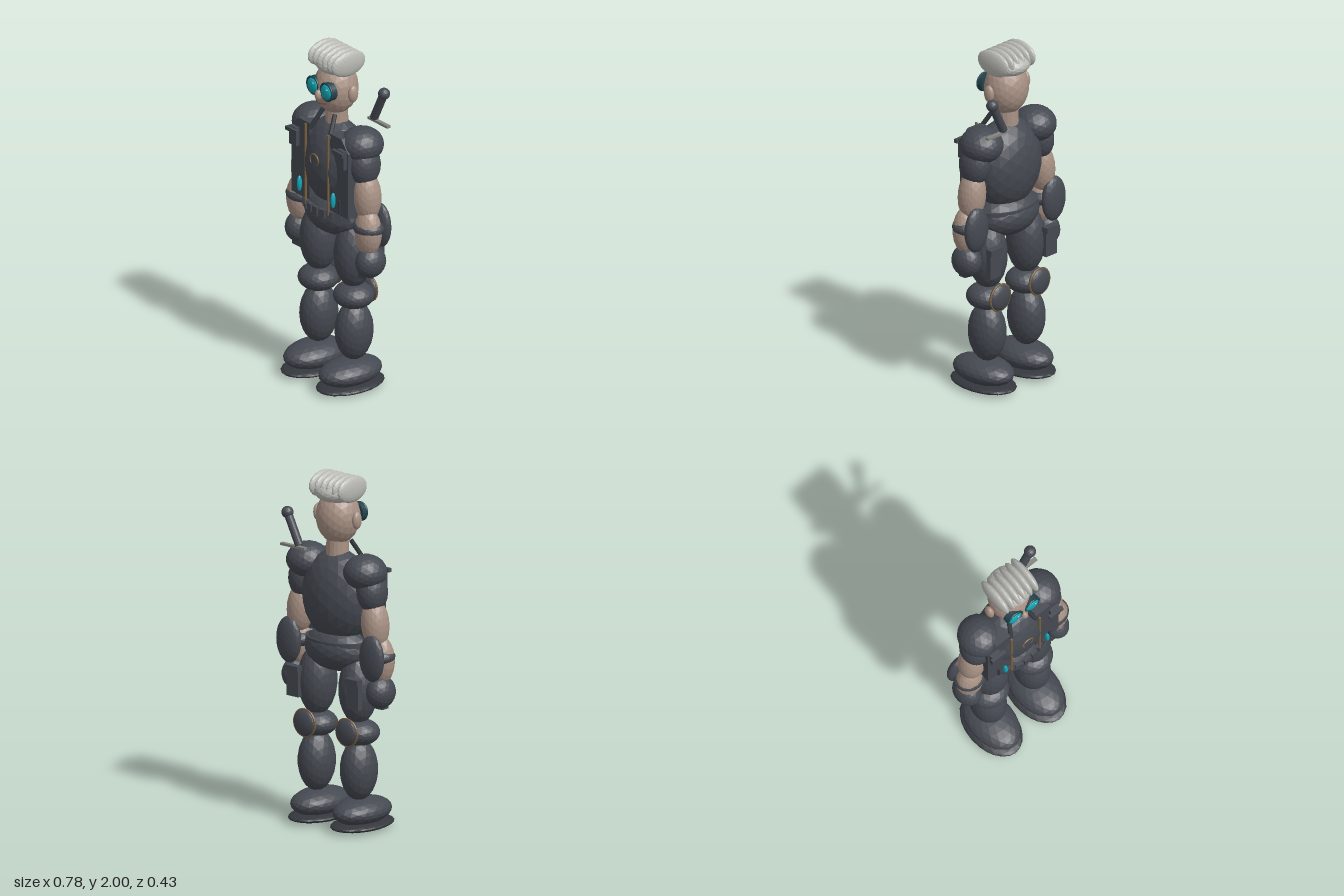
import * as THREE from 'three';

const mat = (name, color) => {
  const m = new THREE.MeshStandardMaterial({ color, flatShading: true });
  m.name = name;
  return m;
};

export function createModel() {
  const root = new THREE.Group();
  root.name = 'soldierFigure';
  const suit = mat('darkSuit', 0x454951);
  const rubber = mat('blackRubber', 0x34373d);
  const skin = mat('skin', 0xa89184);
  const hair = mat('paleHair', 0xb9b9b4);
  const teal = mat('tealGlow', 0x0fa5b4);
  const rim = mat('darkTealRim', 0x24434c);
  const brass = mat('brass', 0x7a6040);
  const steel = mat('steel', 0x85857f);
  const lip = mat('lip', 0x7a5348);
  const glint = mat('glint', 0xc8d4d4);

  const add = (name, geo, m, p = [0, 0, 0], r = [0, 0, 0], parent = root) => {
    const mesh = new THREE.Mesh(geo, m);
    mesh.name = name;
    mesh.position.set(...p);
    mesh.rotation.set(...r);
    parent.add(mesh);
    return mesh;
  };
  const ball = (name, m, p, s, r, parent, detail = 3) =>
    add(name, new THREE.IcosahedronGeometry(1, detail).scale(...s), m, p, r, parent);
  const box = (name, m, p, s, r, parent) => add(name, new THREE.BoxGeometry(...s), m, p, r, parent);
  // Cylinder running between two points
  const rod = (name, m, a, b, radius, parent, sides = 10) => {
    const A = new THREE.Vector3(...a), B = new THREE.Vector3(...b);
    const mesh = add(name, new THREE.CylinderGeometry(radius, radius, A.distanceTo(B), sides), m,
      A.clone().add(B).multiplyScalar(0.5).toArray(), [0, 0, 0], parent);
    mesh.quaternion.setFromUnitVectors(new THREE.Vector3(0, 1, 0), B.sub(A).normalize());
    return mesh;
  };

  // Trunk
  ball('torso', suit, [0, 1.305, -0.025], [0.225, 0.265, 0.16]);
  ball('pelvis', suit, [0, 1.01, -0.025], [0.21, 0.13, 0.15]);
  add('neck', new THREE.CylinderGeometry(0.06, 0.065, 0.14, 16), skin, [0, 1.59, -0.03]);

  // Belt and its row of pouches
  add('belt', new THREE.CylinderGeometry(1, 1, 0.045, 28).scale(0.205, 1, 0.14), suit, [0, 1.045, -0.025]);
  for (let i = -4; i <= 4; i++) {
    const a = i * 0.25;
    box('beltPouch', suit, [Math.sin(a) * 0.215, 1.045, -0.025 + Math.cos(a) * 0.138],
      [0.04, 0.05, 0.03], [0, a * 0.8, 0]);
  }

  // Chest ring
  add('chestRing', new THREE.TorusGeometry(0.035, 0.005, 6, 20), brass, [0, 1.35, 0.128]);

  // Mirrored limbs and gear
  const vest = new THREE.Shape([[0.09, 1.07], [0.25, 1.07], [0.25, 1.46], [0.19, 1.53], [0.09, 1.53]]
    .map(([x, y]) => new THREE.Vector2(x, y)));
  for (const s of [1, -1]) {
    const side = new THREE.Group();
    side.name = s > 0 ? 'leftSide' : 'rightSide';
    root.add(side);
    const b = (name, m, [x, y, z], size, r = [0, 0, 0], detail) =>
      ball(name, m, [s * x, y, z], size, [r[0], s * r[1], s * r[2]], side, detail);
    const bx = (name, m, [x, y, z], size, r = [0, 0, 0]) =>
      box(name, m, [s * x, y, z], size, [r[0], s * r[1], s * r[2]], side);
    const rd = (name, m, a, c, radius) =>
      rod(name, m, [s * a[0], a[1], a[2]], [s * c[0], c[1], c[2]], radius, side);

    // Leg
    b('sole', rubber, [0.155, 0.03, 0], [0.14, 0.03, 0.215]);
    b('boot', suit, [0.155, 0.105, 0], [0.13, 0.077, 0.2]);
    b('shin', suit, [0.155, 0.342, -0.027], [0.1, 0.175, 0.113]);
    b('knee', suit, [0.155, 0.555, -0.025], [0.117, 0.075, 0.115]);
    b('thigh', suit, [0.15, 0.8, -0.027], [0.108, 0.2, 0.113]);
    b('kneePad', suit, [0.155, 0.57, -0.125], [0.077, 0.077, 0.033]);
    add('kneePadRing', new THREE.TorusGeometry(0.077, 0.006, 6, 28), brass,
      [s * 0.155, 0.57, -0.128], [0, 0, 0], side);
    bx('thighHolster', suit, [0.22, 0.795, -0.14], [0.085, 0.16, 0.032]);
    bx('holsterFlap', suit, [0.22, 0.875, -0.148], [0.094, 0.032, 0.042]);

    // Arm
    b('shoulder', suit, [0.21, 1.475, -0.037], [0.12, 0.1, 0.125]);
    b('sleeve', suit, [0.25, 1.37, -0.025], [0.082, 0.12, 0.095], [0, 0, 0.1]);
    b('upperArm', skin, [0.273, 1.19, -0.025], [0.077, 0.15, 0.08], [0, 0, 0.1]);
    b('forearm', skin, [0.3, 0.985, -0.01], [0.083, 0.14, 0.072]);
    b('wristCuff', suit, [0.295, 1.01, -0.018], [0.094, 0.052, 0.085]);
    b('elbowPad', suit, [0.305, 1.01, -0.09], [0.085, 0.132, 0.042]);
    b('glove', suit, [0.31, 0.807, -0.02], [0.075, 0.092, 0.092]);
    bx('gloveGrip', suit, [0.29, 0.725, 0.0], [0.07, 0.035, 0.05]);

    // Vest panel, strap and chest pocket
    const panel = add('vestPanel', new THREE.ExtrudeGeometry(vest, { depth: 0.095, bevelEnabled: false }),
      suit, [0, 0, -0.005], [0, 0, 0], side);
    if (s < 0) panel.rotation.y = Math.PI, panel.position.z = 0.09;
    rd('brassStrap', brass, [0.1, 1.05, 0.11], [0.1, 1.53, 0.11], 0.007);
    rd('collarCord', rubber, [0.052, 1.615, 0.025], [0.088, 1.5, 0.09], 0.013);
    bx('pocket', suit, [0.21, 1.42, 0.1], [0.06, 0.11, 0.03]);
    bx('pocketFlap', suit, [0.203, 1.46, 0.122], [0.095, 0.022, 0.022]);

    // Glowing vials
    b('vial', teal, [0.148, 1.155, 0.115], [0.013, 0.048, 0.016], [0, 0, 0], 1);
    rd('vialClip', rubber, [0.18, 1.08, 0.095], [0.178, 1.16, 0.095], 0.007);

    // Ear and goggle
    b('ear', skin, [0.143, 1.755, -0.03], [0.022, 0.05, 0.032]);
    add('goggleCup', new THREE.CylinderGeometry(0.053, 0.053, 0.035, 24), rim,
      [s * 0.06, 1.77, 0.073], [Math.PI / 2, 0, 0], side);
    add('goggleRim', new THREE.TorusGeometry(0.049, 0.007, 8, 28), rim,
      [s * 0.06, 1.77, 0.09], [0, 0, 0], side);
    b('lens', teal, [0.06, 1.77, 0.088], [0.045, 0.045, 0.02]);
    ball('lensGlint', glint, [s * 0.06 + 0.014, 1.79, 0.102], [0.009, 0.006, 0.004], [0, 0, 0], side, 1);
  }

  // Head, nose and mouth
  ball('head', skin, [0, 1.755, -0.025], [0.125, 0.155, 0.123]);
  ball('nose', skin, [0, 1.735, 0.098], [0.02, 0.032, 0.024], [0, 0, 0], root, 2);
  const smile = new THREE.QuadraticBezierCurve3(new THREE.Vector3(-0.045, 1.692, 0.078),
    new THREE.Vector3(0, 1.676, 0.1), new THREE.Vector3(0.045, 1.692, 0.078));
  add('mouth', new THREE.TubeGeometry(smile, 10, 0.005, 6), lip);

  // Swept hair: a cap with six rolls running front to back
  ball('hairCap', hair, [0, 1.9, -0.035], [0.127, 0.065, 0.125]);
  for (let i = 0; i < 6; i++) {
    ball('hairRoll', hair, [(i - 2.5) * 0.042, 1.925, -0.027], [0.029, 0.075, 0.117]);
  }

  // Slung sword hilt
  rod('hiltGrip', suit, [0.165, 1.585, -0.16], [0.25, 1.755, -0.16], 0.024, root, 14);
  ball('hiltPommel', suit, [0.252, 1.758, -0.16], [0.034, 0.034, 0.034], [0, 0, 0], root, 2);
  box('hiltGuard', steel, [0.207, 1.572, -0.16], [0.175, 0.014, 0.024]);

  return root;
}
